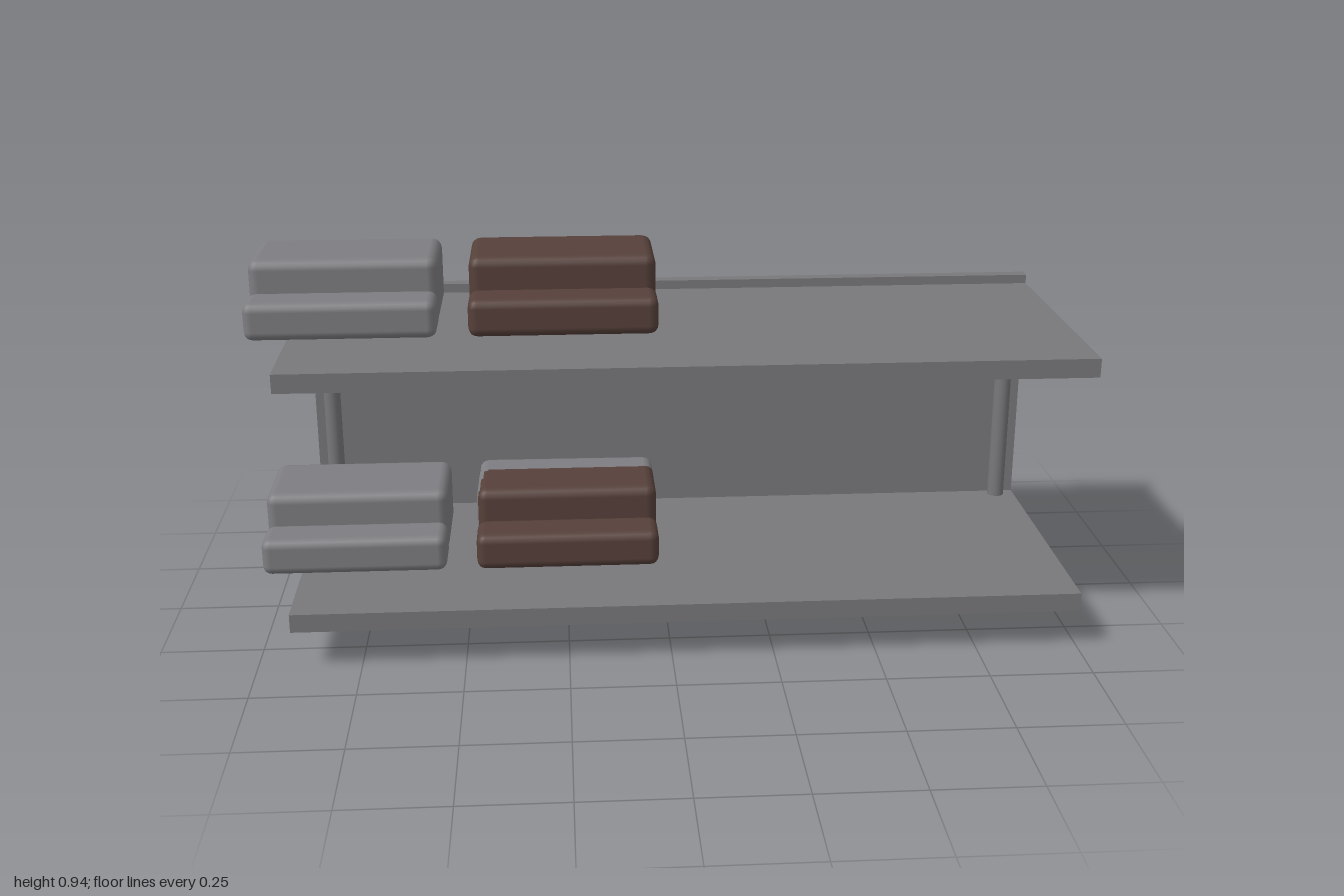
import * as THREE from 'three';
import { RoundedBoxGeometry } from 'three/addons/geometries/RoundedBoxGeometry.js';

const mat = (name, color) => new THREE.MeshStandardMaterial({ name, color });

export function createModel() {
  const group = new THREE.Group();
  group.name = 'shelfUnit';
  const shelfGrey = mat('shelfGrey', 0x78787c);
  const cushionGrey = mat('cushionGrey', 0x7e7e82);
  const brown = mat('leatherBrown', 0x56403a);

  const add = (name, geometry, material, x, y, z) => {
    const mesh = new THREE.Mesh(geometry, material);
    mesh.name = name;
    mesh.position.set(x, y, z);
    group.add(mesh);
    return mesh;
  };

  // Back panel, a little taller than the top shelf
  add('backPanel', new THREE.BoxGeometry(1.915, 0.717, 0.034), shelfGrey, 0.0425, 0.4085, -0.344);

  // Two posts running from the floor to the underside of the top shelf
  const postGeometry = new THREE.CylinderGeometry(0.022, 0.022, 0.71, 24);
  for (const x of [-0.868, 0.95]) add('post', postGeometry, shelfGrey, x, 0.355, -0.307);

  // Shelves, each with a grey and a brown pair of cushions
  const shelfGeometry = new THREE.BoxGeometry(1.915, 0.046, 0.69);
  const bigGeometry = new RoundedBoxGeometry(0.452, 0.166, 0.238, 2, 0.025);
  const smallGeometry = new RoundedBoxGeometry(0.452, 0.092, 0.117, 2, 0.022);
  for (const y of [0.098, 0.698]) {
    add('shelf', shelfGeometry, shelfGrey, 0.0425, y + 0.023, 0.017);
    for (const [x, material] of [[-0.774, cushionGrey], [-0.248, brown]]) {
      add('largeCushion', bigGeometry, material, x, y + 0.155, -0.044);
      add('smallCushion', smallGeometry, material, x, y + 0.118, 0.135);
    }
  }

  // Grey lining showing at the back of the lower brown cushion
  const lining = add('cushionLining', bigGeometry, cushionGrey, -0.2485, 0.2527, -0.047);
  lining.rotation.set(0.01, -0.01, 0);

  return group;
}
